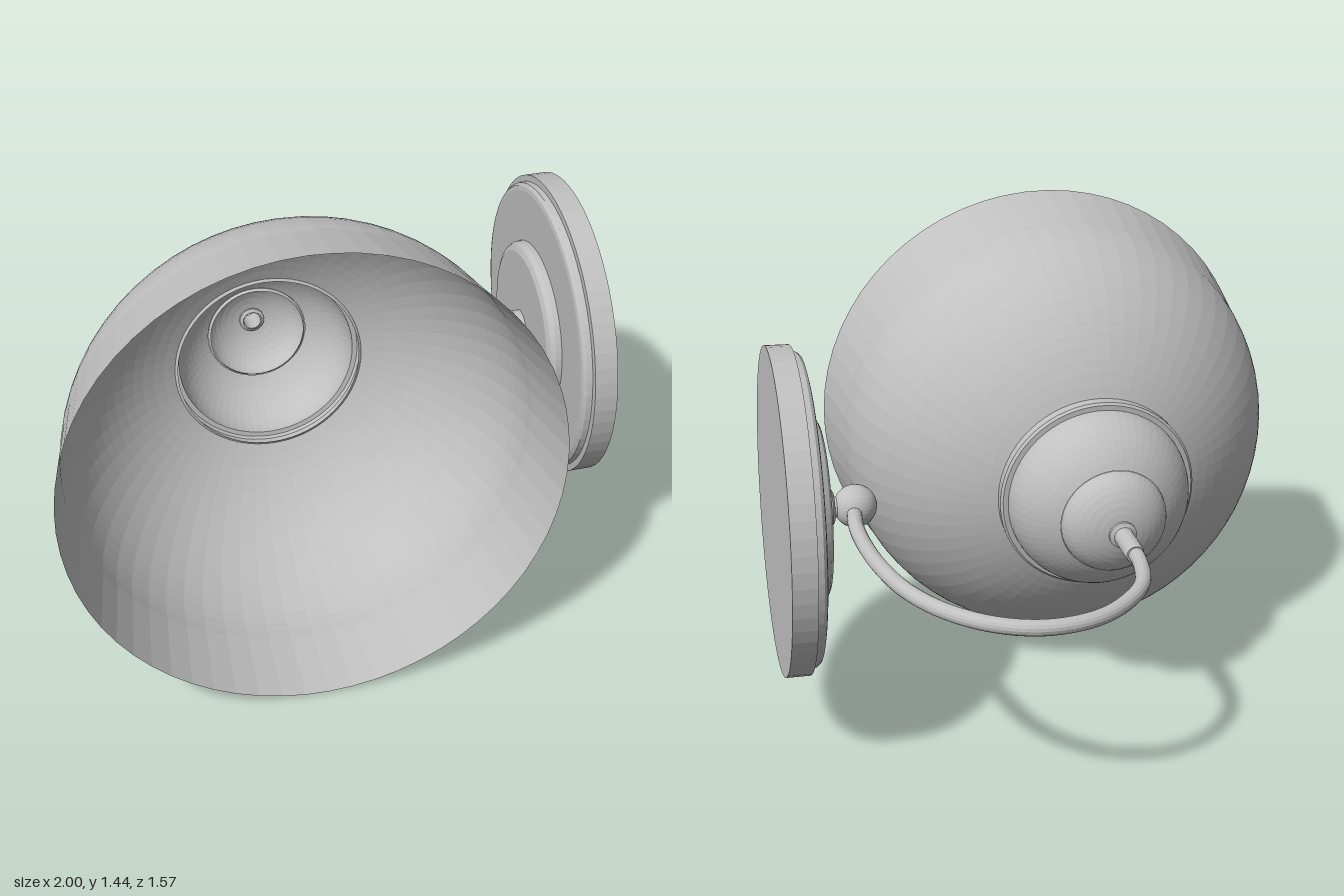
import * as THREE from 'three';

const UP = new THREE.Vector3(0, 1, 0);

// Quarter-ellipse arc of profile points, from radius r at height y0 up to angle "end"
function arc(r, h, y0, start, end, n) {
  const pts = [];
  for (let i = 0; i <= n; i++) {
    const a = start + (end - start) * i / n;
    pts.push([r * Math.cos(a), y0 + h * Math.sin(a)]);
  }
  return pts;
}

export function createModel() {
  const metal = new THREE.MeshStandardMaterial({ color: 0xc0c0c0 });
  metal.name = 'grey metal';
  metal.flatShading = true;
  metal.side = THREE.DoubleSide;

  const model = new THREE.Group();
  model.name = 'wallLamp';

  // The whole lamp lies in one slightly tilted plane
  const lamp = new THREE.Group();
  lamp.name = 'lampBody';
  lamp.position.y = 0.688;
  lamp.rotation.x = -0.075;
  model.add(lamp);

  const add = (parent, name, geometry) => {
    const mesh = new THREE.Mesh(geometry, metal);
    mesh.name = name;
    parent.add(mesh);
    return mesh;
  };
  const lathe = (parent, name, pts, segments = 64) =>
    add(parent, name, new THREE.LatheGeometry(pts.map(([r, y]) => new THREE.Vector2(r, y)), segments));
  const axisGroup = (name, x, z, dx, dz) => {
    const g = new THREE.Group();
    g.name = name;
    g.position.set(x, 0, z);
    g.quaternion.setFromUnitVectors(UP, new THREE.Vector3(dx, 0, dz).normalize());
    lamp.add(g);
    return g;
  };

  // Lamp head: local y runs from the open rim to the stem
  const head = axisGroup('lampHead', -0.335, 0.505, 0.382, -0.924);
  lathe(head, 'shade', [[0.72, 0], ...arc(0.685, 0.572, 0.2, 0.04, 1.13, 18)]);
  lathe(head, 'capCollar', [[0.285, 0.712], [0.296, 0.718], [0.297, 0.75], [0.29, 0.757], [0.275, 0.758]]);
  lathe(head, 'capDome', arc(0.275, 0.2, 0.758, 0, 0.96, 10));
  lathe(head, 'capTop', [[0.15, 0.915], ...arc(0.157, 0.093, 0.922, 0, 1.35, 8)], 48);
  lathe(head, 'stemRing', [[0.03, 1.0], [0.04, 1.005], [0.04, 1.02], [0.028, 1.026]], 24);
  lathe(head, 'stemSleeve', [[0.028, 1.0], [0.028, 1.13], [0.025, 1.138], [0.018, 1.138]], 24);

  // Curved arm
  const path = [
    [0.075, -0.49], [0.118, -0.59], [0.19, -0.685], [0.3, -0.745], [0.42, -0.765],
    [0.55, -0.732], [0.65, -0.65], [0.717, -0.53], [0.745, -0.39], [0.737, -0.25],
    [0.71, -0.12], [0.67, 0], [0.605, 0.125],
  ].map(([x, z]) => new THREE.Vector3(x, 0, z));
  add(lamp, 'arm', new THREE.TubeGeometry(new THREE.CatmullRomCurve3(path), 64, 0.022, 16));

  // Wall mount: local y runs from the flat wall face towards the arm
  const mount = axisGroup('wallMount', 0.82, 0.21, -0.925, -0.379);
  lathe(mount, 'basePlate', [
    [0, 0], [0.475, 0], [0.475, 0.07], [0.455, 0.071], [0.453, 0.088],
    [0.445, 0.097], [0.432, 0.1], [0, 0.1],
  ]);
  lathe(mount, 'raisedDisc', [
    [0.272, 0.1], [0.271, 0.118], [0.262, 0.132], [0.245, 0.14], [0, 0.14],
  ]);
  lathe(mount, 'ballCollar', [[0.055, 0.14], [0.055, 0.165], [0.045, 0.172], [0.03, 0.172], [0.03, 0.2]], 32);
  add(mount, 'ballJoint', new THREE.SphereGeometry(0.063, 32, 20)).position.y = 0.235;

  return model;
}
